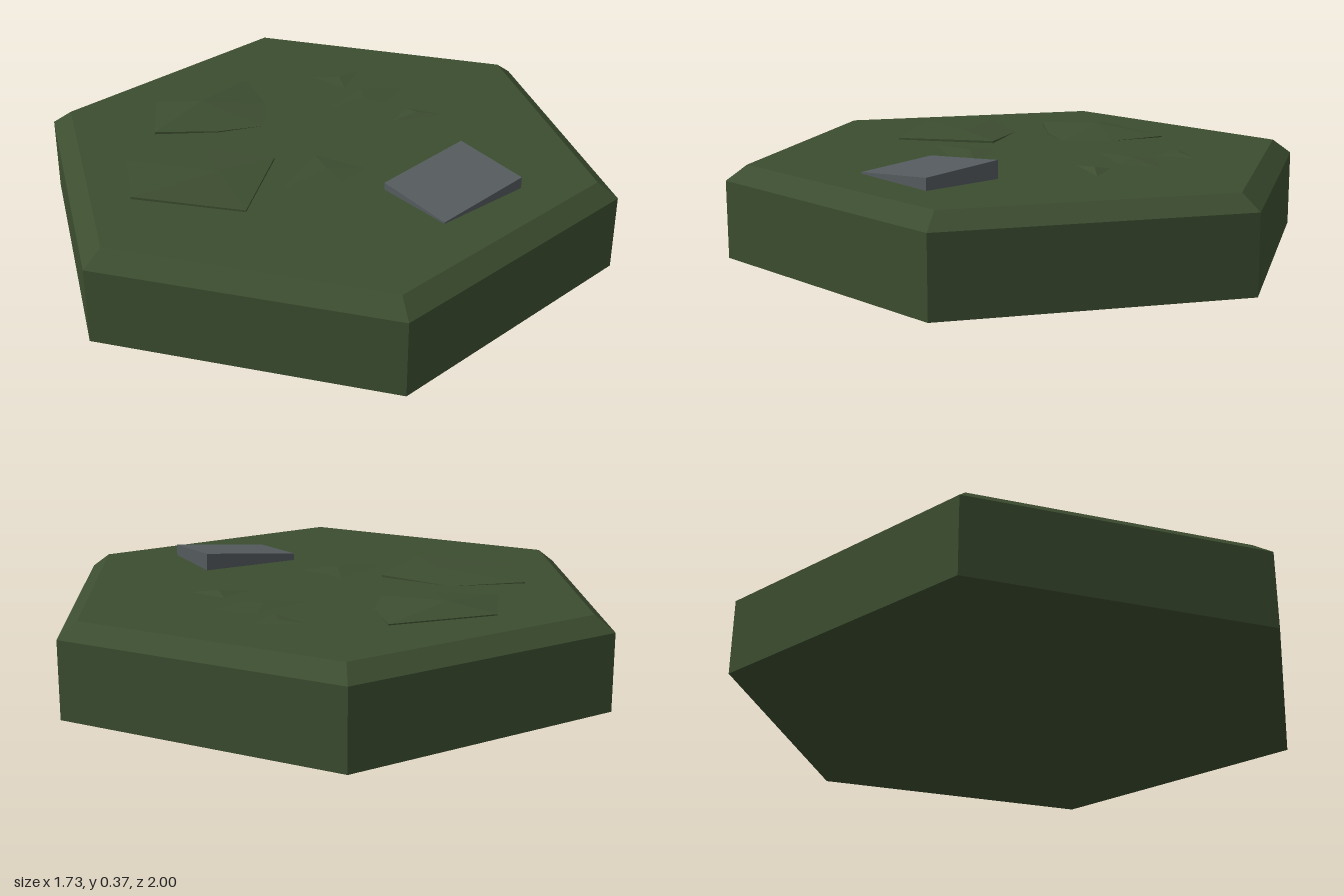
import * as THREE from 'three';

const TOP = 0.31;

const grass = new THREE.MeshStandardMaterial({ color: 0x3c4d30, flatShading: true });
grass.name = 'mossGreen';
const slate = new THREE.MeshStandardMaterial({ color: 0x545a5d, flatShading: true });
slate.name = 'slateGrey';

// Rock with a straight skirt and a faceted cap; rim points are [x, y, z], counter-clockwise seen from above
function facetedRock(name, rim, peak, material, bottom = TOP - 0.02) {
  const pos = [];
  rim.forEach((a, i) => {
    const b = rim[(i + 1) % rim.length];
    const a0 = [a[0], bottom, a[2]];
    const b0 = [b[0], bottom, b[2]];
    pos.push(...a, ...b, ...peak);
    pos.push(...a0, ...b0, ...b, ...a0, ...b, ...a);
  });
  const geo = new THREE.BufferGeometry();
  geo.setAttribute('position', new THREE.Float32BufferAttribute(pos, 3));
  geo.computeVertexNormals();
  const mesh = new THREE.Mesh(geo, material);
  mesh.name = name;
  return mesh;
}

// Ground swell whose rim height may vary per point: [x, z, height above ground]
function mound(name, points, peak) {
  const rim = points.map(([x, z, h = 0]) => [x, TOP + h, z]);
  return facetedRock(name, rim, [peak[0], TOP + peak[2], peak[1]], grass);
}

export function createModel() {
  const model = new THREE.Group();
  model.name = 'hexTile';

  // Hexagonal base with a bevelled top edge
  const base = new THREE.Mesh(new THREE.CylinderGeometry(1, 1, 0.26, 6, 1, true), grass);
  base.name = 'baseSides';
  base.position.y = 0.13;
  const bevel = new THREE.Mesh(new THREE.CylinderGeometry(0.93, 1, 0.05, 6, 1, true), grass);
  bevel.name = 'bevel';
  bevel.position.y = 0.285;
  const ground = new THREE.Mesh(new THREE.CircleGeometry(0.93, 6, Math.PI / 2), grass);
  ground.name = 'ground';
  ground.rotation.x = -Math.PI / 2;
  ground.position.y = TOP;
  const underside = new THREE.Mesh(new THREE.CircleGeometry(1, 6, Math.PI / 2), grass);
  underside.name = 'underside';
  underside.rotation.x = Math.PI / 2;
  model.add(base, bevel, ground, underside);

  // Tilted stone slab
  model.add(facetedRock('stoneSlab',
    [[0.12, 0.335, 0.34], [0.24, 0.315, 0.59], [0.55, 0.35, 0.44], [0.43, 0.37, 0.19]],
    [0.335, 0.3425, 0.39], slate));

  // Low swells in the ground
  model.add(
    mound('broadMound',
      [[-0.66, -0.05, 0.004], [-0.68, 0.2, 0.008], [-0.34, 0.37, 0.006], [-0.18, 0.06, 0.008], [-0.4, -0.08]],
      [-0.38, 0.12, 0.018]),
    mound('tallMound',
      [[-0.5, -0.46, 0.004], [-0.54, -0.22, 0.008], [-0.32, -0.18, 0.004], [-0.16, -0.19],
        [-0.12, -0.36], [-0.15, -0.56, 0.004]],
      [-0.35, -0.38, 0.028]),
    mound('backMound', [[0.1, -0.53], [0.19, -0.41], [0.27, -0.53]], [0.19, -0.5, 0.008]),
    mound('rightMound', [[0.07, -0.25], [0.3, -0.25], [0.39, -0.36], [0.25, -0.39]], [0.23, -0.31, 0.01]),
    mound('smallMound', [[0.28, -0.11], [0.47, -0.12], [0.36, -0.2]], [0.38, -0.14, 0.012]),
    mound('centreMound', [[-0.2, 0.26], [0, 0.26], [0.1, 0.19], [-0.04, 0.06]], [-0.03, 0.18, 0.012]),
  );
  return model;
}
